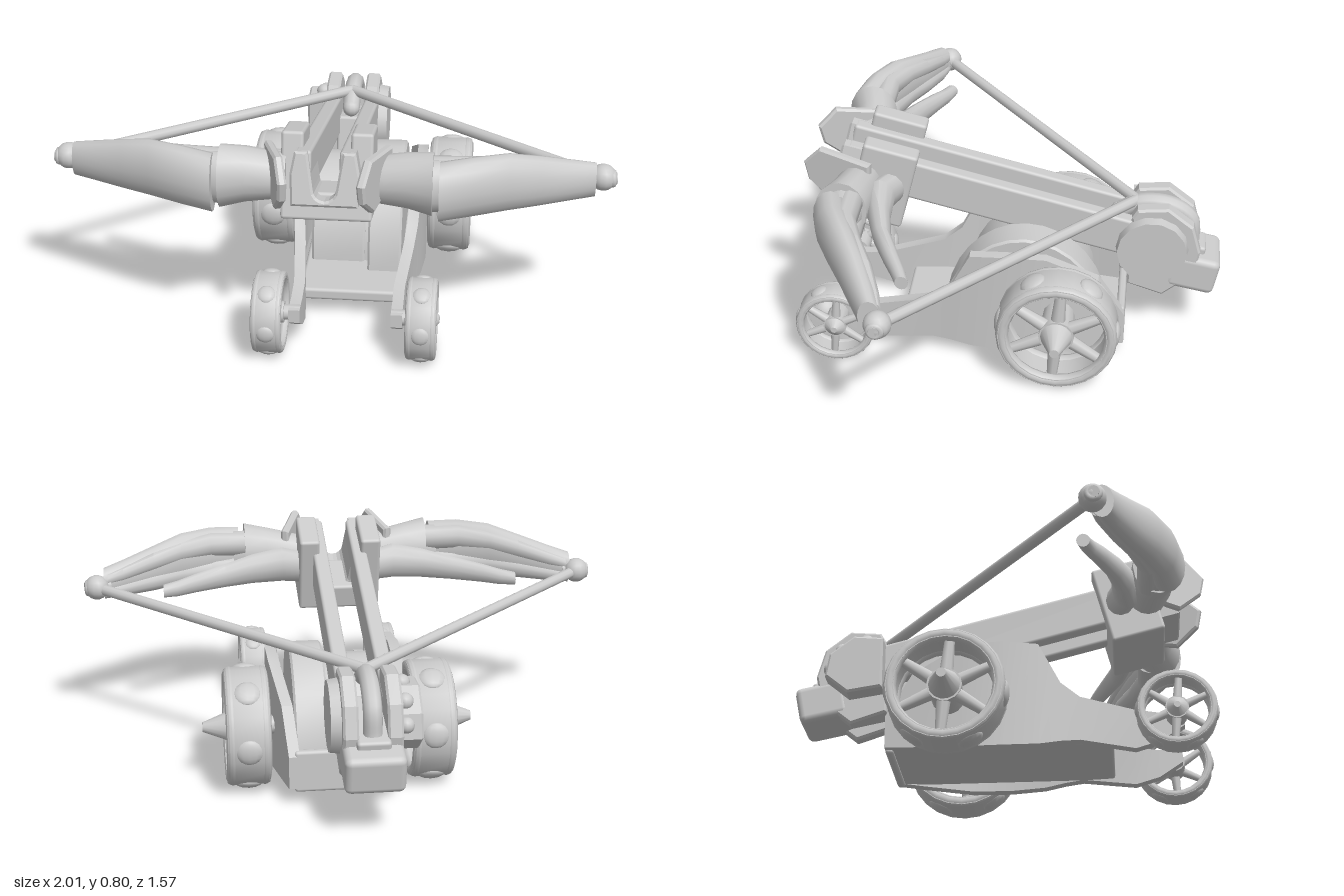
import * as THREE from 'three';
import { RoundedBoxGeometry } from 'three/addons/geometries/RoundedBoxGeometry.js';
import { toCreasedNormals } from 'three/addons/utils/BufferGeometryUtils.js';

const mat = new THREE.MeshStandardMaterial({ color: 0xcccccc, side: THREE.DoubleSide });
const V = (x, y, z) => new THREE.Vector3(x, y, z);

function add(parent, name, geo, x = 0, y = 0, z = 0) {
  const m = new THREE.Mesh(geo, mat);
  m.name = name;
  m.position.set(x, y, z);
  parent.add(m);
  return m;
}

const rbox = (w, h, d, r = 0.012) => new RoundedBoxGeometry(w, h, d, 2, r);

// Straight rod between two points
function rod(parent, name, a, b, r0, r1 = r0, sides = 10) {
  const m = add(parent, name, new THREE.CylinderGeometry(r1, r0, a.distanceTo(b), sides));
  m.position.copy(a).lerp(b, 0.5);
  m.quaternion.setFromUnitVectors(V(0, 1, 0), b.clone().sub(a).normalize());
  return m;
}

// Bevelled extrusion of a list of [x, y] points
function extrude(points, depth) {
  const bevel = 0.008;
  return new THREE.ExtrudeGeometry(new THREE.Shape(points.map(p => new THREE.Vector2(p[0], p[1]))), {
    depth: depth - 2 * bevel, bevelEnabled: true, bevelSize: bevel,
    bevelThickness: bevel, bevelOffset: -bevel, bevelSegments: 1,
  }).translate(0, 0, bevel);
}

// Side profile given as [z, y], thickened from x0 to x1
const slab = (points, x0, x1) => extrude(points, x1 - x0).rotateY(-Math.PI / 2).translate(x1, 0, 0);

// Closed skin over a row of rings, each a list of points
function skin(rings, crease) {
  const n = rings[0].length, last = rings.length - 1, idx = [];
  for (let j = 0; j < n; j++) {
    const k = (j + 1) % n;
    for (let a = 0; a < last * n; a += n) idx.push(a + j, a + k, a + n + j, a + k, a + n + k, a + n + j);
    if (j > 0 && j < n - 1) idx.push(0, k, j, last * n, last * n + j, last * n + k);
  }
  const g = new THREE.BufferGeometry().setFromPoints(rings.flat());
  g.setIndex(idx);
  return toCreasedNormals(g, crease);
}

// Skin over elliptical sections [x, y, z, half height, half depth]
const loft = (sections, n = 16) => skin(sections.map(([x, y, z, ry, rz]) =>
  Array.from({ length: n }, (_, j) => {
    const t = (j / n) * Math.PI * 2;
    return V(x, y + Math.cos(t) * ry, z + Math.sin(t) * rz);
  })), 0.7);

// Spoked wheel facing +x
function wheel(name, R, width, tip) {
  const w = new THREE.Group();
  w.name = name;
  const h = width / 2, t = R * 0.105;
  const rim = [[R * 0.82, -h], [R * 0.95, -h], [R * 0.98, -h * 0.85], [R * 0.98, h * 0.85], [R * 0.95, h], [R * 0.82, h], [R * 0.82, -h]]
    .map(p => new THREE.Vector2(...p));
  add(w, 'rim', toCreasedNormals(new THREE.LatheGeometry(rim, 24), 0.6)).rotation.z = -Math.PI / 2;
  for (const s of [-1, 1])
    add(w, 'rimEdge', new THREE.TorusGeometry(R * 0.885, t, 8, 24), s * (h - t * 0.8)).rotation.y = Math.PI / 2;
  for (let i = 0; i < 6; i++) {
    const a = (i / 6) * Math.PI * 2 + 0.08, c = Math.cos(a), s = Math.sin(a);
    const stud = add(w, 'stud', new THREE.SphereGeometry(1, 12, 8), 0, s * R * 0.94, c * R * 0.94);
    stud.rotation.x = -a;
    stud.scale.set(h * 0.66, R * 0.22, R * 0.095);
    const b = a + Math.PI / 6;
    rod(w, 'spoke', V(h * 0.45, 0, 0), V(h * 0.45, Math.sin(b) * R * 0.84, Math.cos(b) * R * 0.84), R * 0.13, R * 0.085, 8);
  }
  rod(w, 'hub', V(-h, 0, 0), V(h * 0.8, 0, 0), R * 0.26, R * 0.29, 14);
  rod(w, 'hubSpike', V(h * 0.8, 0, 0), V(h + tip, 0, 0), R * 0.26, R * 0.08, 14);
  return w;
}

function buildCarriage(root) {
  const c = new THREE.Group();
  c.name = 'carriage';
  c.position.x = 0.072;
  root.add(c);

  // Side plates bow outwards around the rear wheels: [z, bottom, top, offset]
  const stations = [[-0.44, 0.075, 0.2, 0.18], [-0.34, 0.065, 0.36, 0.197], [-0.15, 0.05, 0.46, 0.23],
    [0, 0.05, 0.465, 0.234], [0.13, 0.055, 0.455, 0.222], [0.21, 0.068, 0.3, 0.21], [0.28, 0.074, 0.245, 0.2],
    [0.48, 0.043, 0.195, 0.18], [0.57, 0.07, 0.18, 0.18], [0.66, 0.13, 0.18, 0.18]];
  for (const s of [-1, 1]) {
    add(c, 'sidePlate', skin(stations.map(([z, lo, hi, x]) => [
      V(s * x - 0.02, lo, z), V(s * x + 0.02, lo, z), V(s * x + 0.02, hi, z), V(s * x - 0.02, hi, z)]), 0.5));

    const rear = wheel('rearWheel', 0.224, 0.155, 0.085);
    rear.position.set(s * 0.338, 0.231, -0.2);
    const front = wheel('frontWheel', 0.148, 0.102, 0.012);
    front.position.set(s * 0.268, 0.155, 0.63);
    for (const w of [rear, front]) {
      if (s < 0) w.rotation.y = Math.PI;
      c.add(w);
    }
    rod(c, 'frontAxle', V(s * 0.16, 0.155, 0.63), V(s * 0.27, 0.155, 0.63), 0.028);
  }
  rod(c, 'rearAxle', V(-0.33, 0.231, -0.2), V(0.33, 0.231, -0.2), 0.035);

  // Floor and closed back
  add(c, 'floor', rbox(0.38, 0.045, 0.84), 0, 0.095, -0.02);
  add(c, 'backPanel', rbox(0.36, 0.16, 0.03), 0, 0.14, -0.425);

  // Rounded drums that carry the stock
  const arch = (cz, rz, ry) => Array.from({ length: 17 }, (_, i) => {
    const a = (i / 16) * Math.PI;
    return [cz + Math.cos(a) * rz, 0.1 + Math.sin(a) * ry];
  });
  add(c, 'drum', toCreasedNormals(slab(arch(-0.07, 0.25, 0.345), -0.17, 0.03), 0.4));
  add(c, 'drum', toCreasedNormals(slab(arch(-0.065, 0.31, 0.39), 0.045, 0.17), 0.4));
  add(c, 'drumSpacer', toCreasedNormals(slab(arch(-0.07, 0.24, 0.32), 0.0, 0.08), 0.4));
}

function buildStock(root) {
  const s = new THREE.Group();
  s.name = 'stock';
  s.position.set(0, 0.637, 0.468);
  s.rotation.x = -0.25;
  root.add(s);
  for (const k of [-1, 1]) {
    add(s, 'beam', rbox(0.058, 0.152, 1.2), k * 0.077, 0.025, -0.44);
    add(s, 'bracketSide', rbox(0.078, 0.31, 0.205), k * 0.12);
  }
  add(s, 'bracketBottom', rbox(0.3, 0.1, 0.205), 0, -0.105, 0);
  // Grooved yoke that guides the bolt
  const groove = Array.from({ length: 9 }, (_, i) => {
    const a = (i / 8) * Math.PI;
    return [Math.cos(a) * 0.04, -0.03 - Math.sin(a) * 0.04];
  });
  const yoke = [[-0.115, -0.09], [0.115, -0.09], [0.12, 0.02], [0.105, 0.1], [0.06, 0.1], ...groove, [-0.06, 0.1], [-0.105, 0.1], [-0.12, 0.02]];
  add(s, 'yoke', extrude(yoke, 0.25), 0, 0, -0.07);
}

function buildTail(root) {
  const t = new THREE.Group();
  t.name = 'trigger';
  root.add(t);
  const cheek = [[-0.45, 0.52], [-0.47, 0.555], [-0.585, 0.565], [-0.68, 0.49], [-0.71, 0.38],
    [-0.69, 0.28], [-0.575, 0.185], [-0.44, 0.23]];
  add(t, 'cheek', slab(cheek, 0.05, 0.105));
  add(t, 'cheek', slab(cheek, -0.105, -0.05));
  add(t, 'core', rbox(0.12, 0.17, 0.3), 0, 0.32, -0.57).rotation.x = -0.2;
  add(t, 'tailBlock', rbox(0.215, 0.145, 0.19, 0.025), 0, 0.282, -0.685).rotation.x = -0.2;
  rod(t, 'sideDisc', V(0.09, 0.395, -0.53), V(0.142, 0.395, -0.53), 0.138, 0.13, 14);
  // Release box with rounded knobs on its sloping top
  add(t, 'releaseBox', slab([[-0.45, 0.5], [-0.56, 0.51], [-0.65, 0.44], [-0.665, 0.35], [-0.58, 0.28], [-0.45, 0.3]], -0.18, -0.07));
  for (const [z, y] of [[-0.52, 0.507], [-0.61, 0.473], [-0.65, 0.4]])
    add(t, 'knob', new THREE.SphereGeometry(0.03, 12, 10), -0.12, y, z);
  const hook = new THREE.CatmullRomCurve3([V(0, 0.38, -0.675), V(0, 0.47, -0.665), V(0, 0.525, -0.59),
    V(0, 0.53, -0.48), V(0, 0.49, -0.4)]);
  add(t, 'hook', new THREE.TubeGeometry(hook, 20, 0.034, 10));
  add(t, 'hookTip', new THREE.SphereGeometry(0.034, 12, 8), 0, 0.49, -0.4);
}

function buildArm(root, side) {
  const a = new THREE.Group();
  a.name = side > 0 ? 'leftBowArm' : 'rightBowArm';
  a.scale.x = side;
  root.add(a);
  add(a, 'outerLimb', loft([[0.388, 0.645, 0.608, 0.108, 0.07], [0.5, 0.655, 0.58, 0.108, 0.068], [0.62, 0.653, 0.527, 0.105, 0.064],
    [0.73, 0.635, 0.472, 0.092, 0.057], [0.85, 0.617, 0.418, 0.074, 0.048], [0.925, 0.607, 0.388, 0.063, 0.04]]));
  // Twin strands along the back of the limb
  for (const k of [-1, 1])
    add(a, 'strand', loft([[0.33, 0.65 + k * 0.048, 0.545, 0.047, 0.045], [0.5, 0.65 + k * 0.052, 0.543, 0.048, 0.043],
      [0.62, 0.645 + k * 0.047, 0.498, 0.043, 0.04], [0.73, 0.632 + k * 0.04, 0.441, 0.037, 0.035],
      [0.85, 0.612 + k * 0.03, 0.391, 0.03, 0.028], [0.91, 0.605 + k * 0.024, 0.37, 0.024, 0.02]], 10));
  add(a, 'cuff', loft([[0.14, 0.65, 0.54, 0.08, 0.07], [0.2, 0.655, 0.55, 0.088, 0.08],
    [0.28, 0.66, 0.56, 0.1, 0.082], [0.365, 0.66, 0.582, 0.113, 0.093]]));
  add(a, 'joint', loft([[0.34, 0.65, 0.575, 0.095, 0.075], [0.41, 0.65, 0.575, 0.095, 0.06]]));
  // Flared plate at the root of the arm
  const plate = add(a, 'rootPlate', slab([[-0.12, -0.08], [-0.13, 0.06], [0.07, 0.09], [0.14, 0.02], [0.125, -0.05], [0.04, -0.12]], -0.016, 0.016),
    0.17, 0.7, 0.62);
  plate.rotation.y = -0.3;
  // Curved finger behind the limb
  add(a, 'finger', loft([[0.12, 0.63, 0.425, 0.06, 0.055], [0.22, 0.635, 0.465, 0.07, 0.055], [0.34, 0.625, 0.45, 0.06, 0.042],
    [0.45, 0.61, 0.422, 0.048, 0.034], [0.57, 0.6, 0.37, 0.038, 0.031], [0.64, 0.592, 0.337, 0.032, 0.027],
    [0.695, 0.59, 0.317, 0.026, 0.024]], 12));
  // Tip fitting and cord
  rod(a, 'tipPin', V(0.9, 0.605, 0.375), V(1, 0.6, 0.36), 0.027, 0.022);
  add(a, 'tipKnob', new THREE.SphereGeometry(0.048, 14, 10), 0.953, 0.602, 0.357);
  add(a, 'tipCap', new THREE.TorusGeometry(0.02, 0.013, 8, 16), 0.987, 0.6, 0.36).rotation.y = Math.PI / 2;
  rod(a, 'cord', V(0.95, 0.6, 0.355), V(0, 0.54, -0.465), 0.021);
}

export function createModel() {
  const root = new THREE.Group();
  root.name = 'wheeledBallista';
  buildCarriage(root);
  buildStock(root);
  buildTail(root);
  buildArm(root, 1);
  buildArm(root, -1);
  return root;
}
